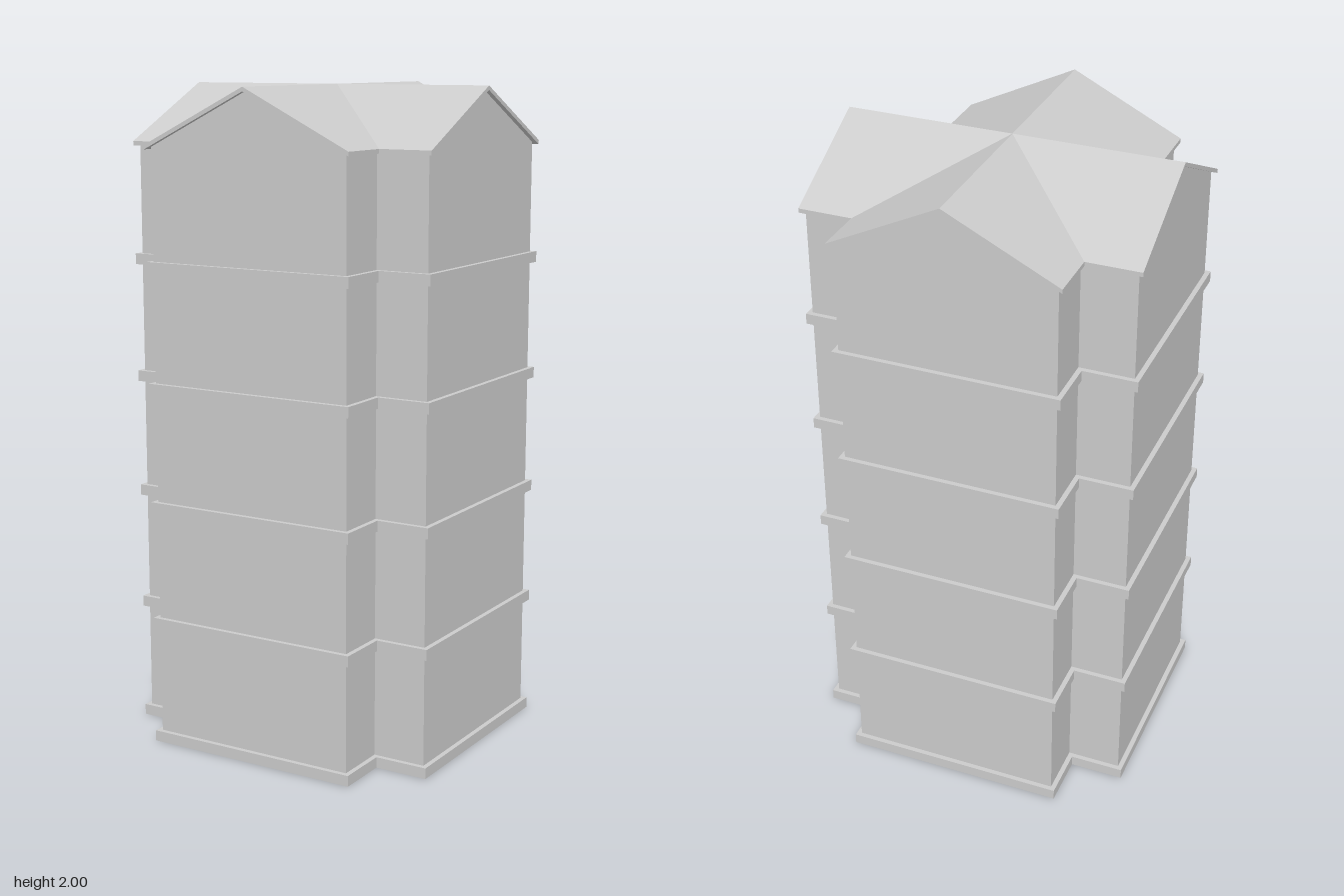
import * as THREE from 'three';

const material = new THREE.MeshStandardMaterial({ color: 0xcccccc, flatShading: true });
const BODY = 0.497, BODY_ARM = 0.331; // wall reach and arm half width
const TRIM = 0.512, TRIM_ARM = 0.346; // ledge and roof reach and half width
const RIDGE = 2, EAVE = 1.83, ROOF_THICK = 0.013;
const STOREYS = 5, STOREY_HEIGHT = 0.364, LEDGE = 0.033;
const SLOPE = (RIDGE - EAVE) / TRIM_ARM;
const WALL_TOP = RIDGE - ROOF_THICK - BODY_ARM * SLOPE;

function addMesh(parent, geometry, name) {
  const mesh = new THREE.Mesh(geometry, material);
  mesh.name = name;
  parent.add(mesh);
  return mesh;
}

// Upright prism on a plus-shaped plan
function crossPrism(reach, arm, bottom, top) {
  const points = [];
  for (let i = 0; i < 4; i++) {
    const turn = (i * Math.PI) / 2;
    for (const [x, y] of [[reach, -arm], [reach, arm], [arm, arm]]) {
      points.push(new THREE.Vector2(x, y).rotateAround(new THREE.Vector2(), turn));
    }
  }
  return new THREE.ExtrudeGeometry(new THREE.Shape(points), { depth: top - bottom, bevelEnabled: false })
    .rotateX(-Math.PI / 2)
    .translate(0, bottom, 0);
}

// One half of a gable roof arm, running from the tower centre to the gable end
function roofPanel(side) {
  const w = side * TRIM_ARM;
  const top = [[0, RIDGE, 0], [0, RIDGE, TRIM], [w, EAVE, TRIM], [w, EAVE, TRIM_ARM]];
  const corners = [...top, ...top.map(([x, y, z]) => [x, y - ROOF_THICK, z])];
  // top, underside, gable edge, eave edge
  const quads = [[0, 1, 2, 3], [7, 6, 5, 4], [1, 5, 6, 2], [2, 6, 7, 3]];
  const index = [];
  for (const quad of quads) {
    const [a, b, c, d] = side > 0 ? quad : [...quad].reverse();
    index.push(a, b, c, a, c, d);
  }
  const indexed = new THREE.BufferGeometry();
  indexed.setAttribute('position', new THREE.Float32BufferAttribute(corners.flat(), 3));
  indexed.setIndex(index);
  const geometry = indexed.toNonIndexed();
  geometry.computeVertexNormals();
  return geometry;
}

export function createModel() {
  const tower = new THREE.Group();
  tower.name = 'tower';

  // Storeys, each standing on a projecting ledge
  for (let i = 0; i < STOREYS; i++) {
    const floor = i * STOREY_HEIGHT;
    const ceiling = i === STOREYS - 1 ? WALL_TOP : floor + STOREY_HEIGHT;
    addMesh(tower, crossPrism(TRIM, TRIM_ARM, floor, floor + LEDGE), i ? 'floorLedge' : 'baseLedge');
    addMesh(tower, crossPrism(BODY, BODY_ARM, floor + LEDGE, ceiling), 'storeyWalls');
  }

  // Four gabled roof arms meeting at the centre
  const gable = new THREE.Shape([
    new THREE.Vector2(-BODY_ARM, WALL_TOP),
    new THREE.Vector2(BODY_ARM, WALL_TOP),
    new THREE.Vector2(0, RIDGE - ROOF_THICK),
  ]);
  for (let i = 0; i < 4; i++) {
    const arm = new THREE.Group();
    arm.name = 'roofArm';
    arm.rotation.y = (i * Math.PI) / 2;
    addMesh(arm, new THREE.ShapeGeometry(gable), 'gableWall').position.z = BODY;
    for (const side of [-1, 1]) addMesh(arm, roofPanel(side), 'roofPanel');
    tower.add(arm);
  }
  return tower;
}
